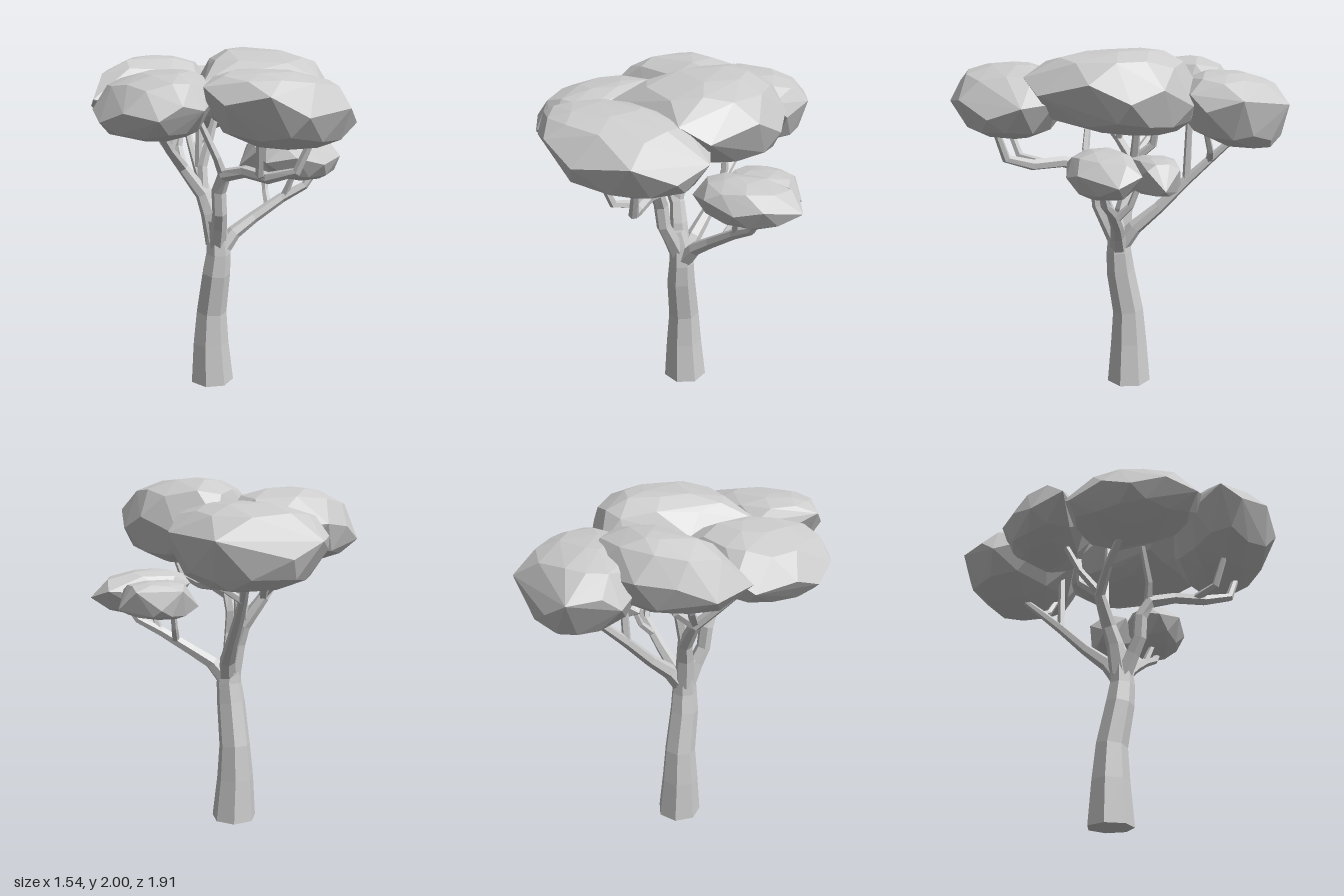
import * as THREE from 'three';
import { ConvexGeometry } from 'three/addons/geometries/ConvexGeometry.js';

const material = new THREE.MeshStandardMaterial({ color: 0xcccccc, flatShading: true });

function addMesh(parent, geometry, name) {
  const mesh = new THREE.Mesh(geometry, material);
  mesh.name = name;
  parent.add(mesh);
}

// Tapered faceted limb through nodes [x, y, z, radius], closed at both ends
function limb(nodes, sides) {
  const pts = nodes.map(n => new THREE.Vector3(n[0], n[1], n[2]));
  const pos = [], index = [];
  const last = pts.length - 1;
  const u = new THREE.Vector3(1, 0, 0);
  pts.forEach((p, i) => {
    const t = pts[Math.min(i + 1, last)].clone().sub(pts[Math.max(i - 1, 0)]).normalize();
    if (nodes[i][1] === 0) t.set(0, 1, 0); // a limb on the ground starts level
    // carry the ring direction along so the limb does not twist
    u.addScaledVector(t, -u.dot(t)).normalize();
    const v = new THREE.Vector3().crossVectors(t, u);
    for (let k = 0; k < sides; k++) {
      const a = -(k + 0.5) / sides * Math.PI * 2;
      const q = p.clone().addScaledVector(u, Math.cos(a) * nodes[i][3]).addScaledVector(v, Math.sin(a) * nodes[i][3]);
      pos.push(q.x, q.y, q.z);
      if (i < last) {
        const b = i * sides + k, c = i * sides + (k + 1) % sides;
        index.push(c, b, b + sides, c + sides, c, b + sides);
      }
    }
  });
  for (let k = 1; k < sides - 1; k++) {
    const e = last * sides;
    index.push(0, k, k + 1, e, e + k + 1, e + k);
  }
  const g = new THREE.BufferGeometry();
  g.setAttribute('position', new THREE.Float32BufferAttribute(pos, 3));
  g.setIndex(index);
  const flat = g.toNonIndexed();
  flat.computeVertexNormals();
  return flat;
}

// Faceted leaf clump: plan outline [x, z] with a rim of varying height, domed to a top and a bottom point
function clump({ outline, rim, thick, top, bottom }) {
  const pts = [new THREE.Vector3(...top), new THREE.Vector3(...bottom)];
  const n = outline.length;
  outline.forEach(([x, z], i) => {
    const [x2, z2] = outline[(i + 1) % n];
    for (const [apex, sign] of [[top, 1], [bottom, -1]]) {
      const add = (px, pz, k) => {
        const y = THREE.MathUtils.lerp(rim(px, pz) + sign * thick, apex[1], Math.sqrt(1 - k ** 2.2));
        pts.push(new THREE.Vector3(apex[0] + (px - apex[0]) * k, y, apex[2] + (pz - apex[2]) * k));
      };
      // the widest point alternates between the upper and lower edge
      if ((i % 2 === 0) === (sign > 0)) add(x, z, 1);
      const wobble = 0.06 * Math.sin(i * 2.4 + apex[1] * 9);
      add((x + x2) / 2, (z + z2) / 2, 0.8 + wobble);
      if (i % 2 === 0) add(x, z, 0.42 + wobble);
    }
  });
  return new ConvexGeometry(pts);
}

const limbs = {
  frontBranch: [[-.03, .86, .01, .055], [-.045, 1, .08, .046], [-.06, 1.09, .125, .042], [-.07, 1.22, .135, .042],
    [-.06, 1.32, .19, .04], [0, 1.36, .33, .034], [.05, 1.35, .5, .032], [.14, 1.4, .64, .026], [.2, 1.58, .69, .02]],
  rightSideBranch: [[-.03, .88, 0, .06], [-.06, 1.06, -.02, .052], [-.09, 1.17, -.05, .044], [-.2, 1.33, -.08, .034],
    [-.31, 1.45, 0, .026], [-.43, 1.6, .12, .02]],
  backBranch: [[-.01, .86, 0, .055], [.01, .97, -.08, .045], [.02, 1.09, -.22, .035], [.02, 1.25, -.38, .03],
    [.03, 1.39, -.53, .024], [.05, 1.54, -.69, .018]],
  leftSideBranch: [[-.01, .83, .01, .055], [.08, .94, .02, .042], [.2, 1.02, .03, .035], [.37, 1.13, .06, .03],
    [.5, 1.2, .1, .024], [.57, 1.3, .12, .018]]
};

const twigs = [
  // front
  [[.03, 1.36, .45, .026], [-.04, 1.39, .58, .023], [-.08, 1.6, .66, .018]],
  [[-.06, 1.31, .18, .028], [-.11, 1.42, .2, .023], [-.2, 1.62, .18, .018]],
  // centre and right side
  [[-.09, 1.17, -.05, .036], [-.08, 1.33, -.08, .03], [.02, 1.64, -.1, .02]],
  [[-.2, 1.33, -.08, .028], [-.18, 1.43, -.2, .025], [-.14, 1.62, -.23, .02]],
  [[-.31, 1.44, 0, .024], [-.23, 1.62, -.02, .018]],
  [[-.2, 1.34, -.08, .026], [-.28, 1.46, -.18, .022], [-.34, 1.62, -.26, .018]],
  // back
  [[.02, 1.25, -.38, .025], [.03, 1.62, -.39, .02]],
  [[.03, 1.37, -.51, .022], [.12, 1.43, -.5, .02], [.2, 1.6, -.45, .016]],
  // left side
  [[.29, 1.08, .04, .024], [.31, 1.16, -.04, .02], [.33, 1.32, -.1, .016]],
  [[.38, 1.13, .06, .024], [.42, 1.3, .12, .016]]
];

const clumps = {
  frontFoliage: {
    outline: [[.51, .52], [.45, .7], [.31, .86], [.03, .95], [-.16, .92], [-.33, .79], [-.39, .68], [-.3, .5], [-.2, .38], [.1, .28], [.4, .35]],
    rim: x => 1.75 - .16 * x, thick: .035, top: [-.1, 1.92, .6], bottom: [.15, 1.52, .62]
  },
  rightSideFoliage: {
    outline: [[-.6, -.19], [-.68, -.13], [-.76, .08], [-.77, .24], [-.7, .42], [-.57, .57], [-.45, .575], [-.32, .53], [-.19, .4], [-.13, .1], [-.14, -.13], [-.4, -.21]],
    rim: x => 1.79 + .15 * x, thick: .025, top: [-.32, 1.9, .15], bottom: [-.45, 1.54, .18]
  },
  topFoliage: {
    outline: [[.15, -.43], [.34, -.37], [.51, -.2], [.58, -.03], [.57, .18], [.46, .44], [.33, .52], [.08, .47], [-.25, .35], [-.15, .2], [-.13, -.05], [.02, -.33]],
    rim: (x, z) => 1.77 + .08 * z, thick: .04, top: [.18, 2, -.1], bottom: [.25, 1.54, -.18]
  },
  backRightFoliage: {
    outline: [[-.38, -.64], [-.05, -.68], [.09, -.48], [.1, -.36], [-.06, -.18], [-.38, -.12], [-.69, -.16], [-.65, -.36], [-.53, -.51]],
    rim: x => 1.78 + .12 * x, thick: .03, top: [-.25, 1.95, -.42], bottom: [-.3, 1.56, -.38]
  },
  backFoliage: {
    outline: [[-.25, -.94], [-.1, -.96], [.26, -.9], [.32, -.74], [.43, -.62], [.4, -.43], [.35, -.35], [0, -.3], [-.25, -.4], [-.36, -.7], [-.33, -.79]],
    rim: (x, z) => 1.76 + .11 * z, thick: .04, top: [.05, 1.88, -.52], bottom: [.12, 1.45, -.78]
  },
  lowerFrontFoliage: {
    outline: [[.68, -.08], [.77, .04], [.65, .24], [.51, .3], [.33, .3], [.19, .2], [.2, .05], [.35, -.08]],
    rim: x => 1.4 - .05 * x, thick: .02, top: [.4, 1.49, .1], bottom: [.5, 1.24, .11]
  },
  lowerBackFoliage: {
    outline: [[.55, -.28], [.64, -.2], [.6, -.11], [.4, 0], [.25, -.03], [.19, -.15], [.3, -.28], [.42, -.3]],
    rim: () => 1.35, thick: .05, top: [.42, 1.45, -.15], bottom: [.36, 1.24, -.2]
  }
};

export function createModel() {
  const tree = new THREE.Group();
  tree.name = 'tree';

  addMesh(tree, limb([[-.037, 0, -.05, .132], [-.045, .25, -.05, .11], [-.042, .45, -.045, .093], [-.03, .7, 0, .085],
    [-.02, .82, .01, .075], [-.025, .93, .01, .064], [-.04, 1.03, .02, .045]], 7), 'trunk');

  const branches = new THREE.Group();
  branches.name = 'branches';
  for (const [name, nodes] of Object.entries(limbs)) addMesh(branches, limb(nodes, 6), name);
  for (const nodes of twigs) addMesh(branches, limb(nodes, 5), 'twig');

  const canopy = new THREE.Group();
  canopy.name = 'canopy';
  for (const [name, spec] of Object.entries(clumps)) addMesh(canopy, clump(spec), name);

  tree.add(branches, canopy);
  return tree;
}
